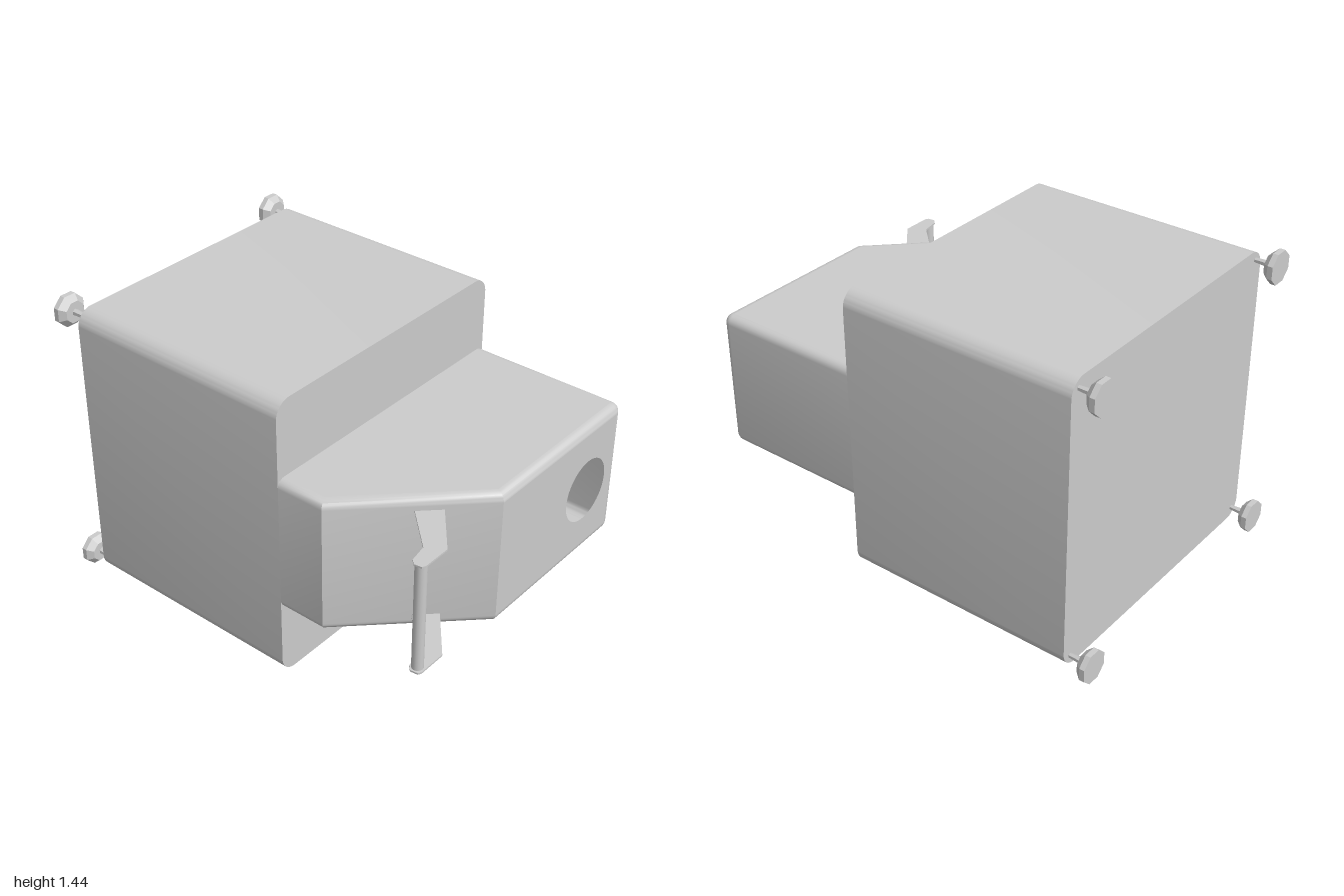
import * as THREE from 'three';
import { toCreasedNormals } from 'three/addons/utils/BufferGeometryUtils.js';

const W = 0.695, BACK = -0.88, STEP = 0.255;   // half width, back plane, plane where the front hood starts
const Y0 = 0.03, Y1 = 1.42, MID = 0.73;        // main box height range, hood centre height
const H0 = 0.4, H1 = 1.06, R = 0.04;           // hood height range and edge radius
const HOLE = { x: 0.45, y: MID, r: 0.15 };

const shell = new THREE.MeshStandardMaterial({ color: 0xcccccc, side: THREE.DoubleSide });
const faceted = new THREE.MeshStandardMaterial({ color: 0xcccccc, flatShading: true });

function add(parent, name, geometry, material = shell) {
  const mesh = new THREE.Mesh(geometry, material);
  mesh.name = name;
  parent.add(mesh);
  return mesh;
}

// Skin between rows of points; skip(i, j) leaves a quad open
function skin(rows, skip = () => false) {
  const pos = [];
  for (let i = 0; i < rows.length - 1; i++) {
    for (let j = 0; j < rows[i].length - 1; j++) {
      if (skip(i, j)) continue;
      const a = rows[i][j], b = rows[i][j + 1], c = rows[i + 1][j + 1], d = rows[i + 1][j];
      pos.push(...a, ...b, ...c, ...a, ...c, ...d);
    }
  }
  const g = new THREE.BufferGeometry();
  g.setAttribute('position', new THREE.Float32BufferAttribute(pos, 3));
  return toCreasedNormals(g, 0.6);
}

// Rounded rectangle seen from the front
function roundedRect(x0, y0, x1, y1, r) {
  const s = new THREE.Shape();
  s.moveTo(x0 + r, y0).lineTo(x1 - r, y0);
  s.absarc(x1 - r, y0 + r, r, -Math.PI / 2, 0);
  s.absarc(x1 - r, y1 - r, r, 0, Math.PI / 2);
  s.absarc(x0 + r, y1 - r, r, Math.PI / 2, Math.PI);
  s.absarc(x0 + r, y0 + r, r, Math.PI, Math.PI * 1.5);
  return s;
}

// Hollow main box: sleeve, back wall and the front strips above and below the hood
function mainBox() {
  const g = new THREE.Group();
  g.name = 'mainBox';
  const r = 0.08;
  const outline = roundedRect(-W, Y0, W, Y1, r);
  const pts = outline.getPoints(8);
  pts.push(pts[0].clone());
  add(g, 'sleeve', skin([BACK, STEP].map(z => pts.map(p => [p.x, p.y, z]))));
  add(g, 'backWall', new THREE.ShapeGeometry(outline, 8).rotateY(Math.PI).translate(0, 0, BACK));

  const centre = (Y0 + Y1) / 2;
  for (const up of [false, true]) {
    const edge = (up ? Y1 - H1 : H0 - Y0) - (Y1 - Y0) / 2;
    const bottom = -(Y1 - Y0) / 2;
    const s = new THREE.Shape();
    s.moveTo(-W + r, bottom).lineTo(W - r, bottom);
    s.absarc(W - r, bottom + r, r, -Math.PI / 2, 0);
    s.lineTo(W, edge + R);
    s.absarc(W - R, edge + R, R, 0, -Math.PI / 2, true);
    s.lineTo(-W + R, edge);
    s.absarc(-W + R, edge + R, R, -Math.PI / 2, -Math.PI, true);
    s.lineTo(-W, bottom + r);
    s.absarc(-W + r, bottom + r, r, Math.PI, Math.PI * 1.5);
    const strip = add(g, up ? 'upperFrontWall' : 'lowerFrontWall', new THREE.ShapeGeometry(s, 8));
    strip.position.set(0, centre, STEP);
    if (up) strip.rotation.z = Math.PI;
  }
  return g;
}

// Plan outline of the hood, inset by d, from the left back round the front to the right back
function hoodOutline(d) {
  const k = Math.SQRT2 - 1, cr = 0.045;
  const pts = [[-W + d, STEP], [-W + d, 0.485 - k * d], [-0.19 + k * d, 1 - d]];
  for (let i = 0; i <= 6; i++) {
    const a = (Math.PI / 2) * (1 - i / 6);
    pts.push([W - cr + (cr - d) * Math.cos(a), 1 - cr + (cr - d) * Math.sin(a)]);
  }
  pts.push([W - d, STEP]);
  return pts;
}

// Hollow hood with one cut corner, rounded edges and a round opening
function hood() {
  const g = new THREE.Group();
  g.name = 'hood';
  const n = 6, levels = [];
  for (let i = 0; i <= n; i++) {
    const a = (i / n) * Math.PI / 2;
    levels.push([H0 + R * (1 - Math.cos(a)), R * (1 - Math.sin(a))]);
  }
  levels.push(...levels.map(([y, d]) => [H0 + H1 - y, d]).reverse());
  const rows = levels.map(([y, d]) => hoodOutline(d).map(([x, z]) => [x, y, z]));
  add(g, 'hoodWalls', skin(rows, (i, j) => i === n && j === 2));

  const cap = hoodOutline(R);
  const capShape = sign => new THREE.Shape(cap.map(([x, z]) => new THREE.Vector2(x, sign * z)));
  add(g, 'hoodTop', new THREE.ShapeGeometry(capShape(-1)).rotateX(-Math.PI / 2).translate(0, H1, 0));
  add(g, 'hoodFloor', new THREE.ShapeGeometry(capShape(1)).rotateX(Math.PI / 2).translate(0, H0, 0));

  const front = new THREE.Shape();
  front.moveTo(-0.19, H0 + R).lineTo(W - 0.045, H0 + R).lineTo(W - 0.045, H1 - R).lineTo(-0.19, H1 - R);
  const hole = new THREE.Path();
  hole.absarc(HOLE.x, HOLE.y, HOLE.r, 0, Math.PI * 2, true);
  front.holes.push(hole);
  add(g, 'frontPanelWithOpening', new THREE.ShapeGeometry(front, 32).translate(0, 0, 1));
  return g;
}

// Handle: two thin bent arms joined by an upright bar
function handle() {
  const g = new THREE.Group();
  g.name = 'handle';
  const plan = [[-0.43, 0.74], [-0.6, 0.915], [-0.685, 0.93], [-0.705, 0.95], [-0.7, 0.985],
    [-0.685, 0.993], [-0.55, 0.993], [-0.35, 0.83]];
  const shape = new THREE.Shape(plan.map(([x, z]) => new THREE.Vector2(x, z)));
  const t = 0.008;
  for (const y of [0.462, 0.996]) {
    const arm = new THREE.ExtrudeGeometry(shape, { depth: t, bevelEnabled: false });
    add(g, 'handleArm', arm.rotateX(Math.PI / 2).translate(0, y + t / 2, 0));
  }
  const bar = add(g, 'handleBar', new THREE.CylinderGeometry(0.026, 0.026, 0.534, 16));
  bar.position.set(-0.67, 0.729, 0.96);
  return g;
}

// Faceted foot on a thin stem behind a back corner
function foot(x, y) {
  const g = new THREE.Group();
  g.name = 'foot';
  const pad = [[0, -1], [0.078, -1], [0.078, -0.975], [0.052, -0.947], [0, -0.947]];
  const lathe = new THREE.LatheGeometry(pad.map(([r, z]) => new THREE.Vector2(r, z)), 8);
  add(g, 'footPad', lathe.rotateY(Math.PI / 8).rotateX(Math.PI / 2), faceted);
  const stem = add(g, 'footStem', new THREE.CylinderGeometry(0.011, 0.017, 0.09, 6).rotateX(Math.PI / 2), faceted);
  stem.position.z = -0.912;
  g.position.set(x, y, 0);
  return g;
}

export function createModel() {
  const model = new THREE.Group();
  model.name = 'boxWithHood';
  model.add(mainBox(), hood(), handle());
  for (const x of [-0.648, 0.648]) for (const y of [0.078, 1.376]) model.add(foot(x, y));
  return model;
}
